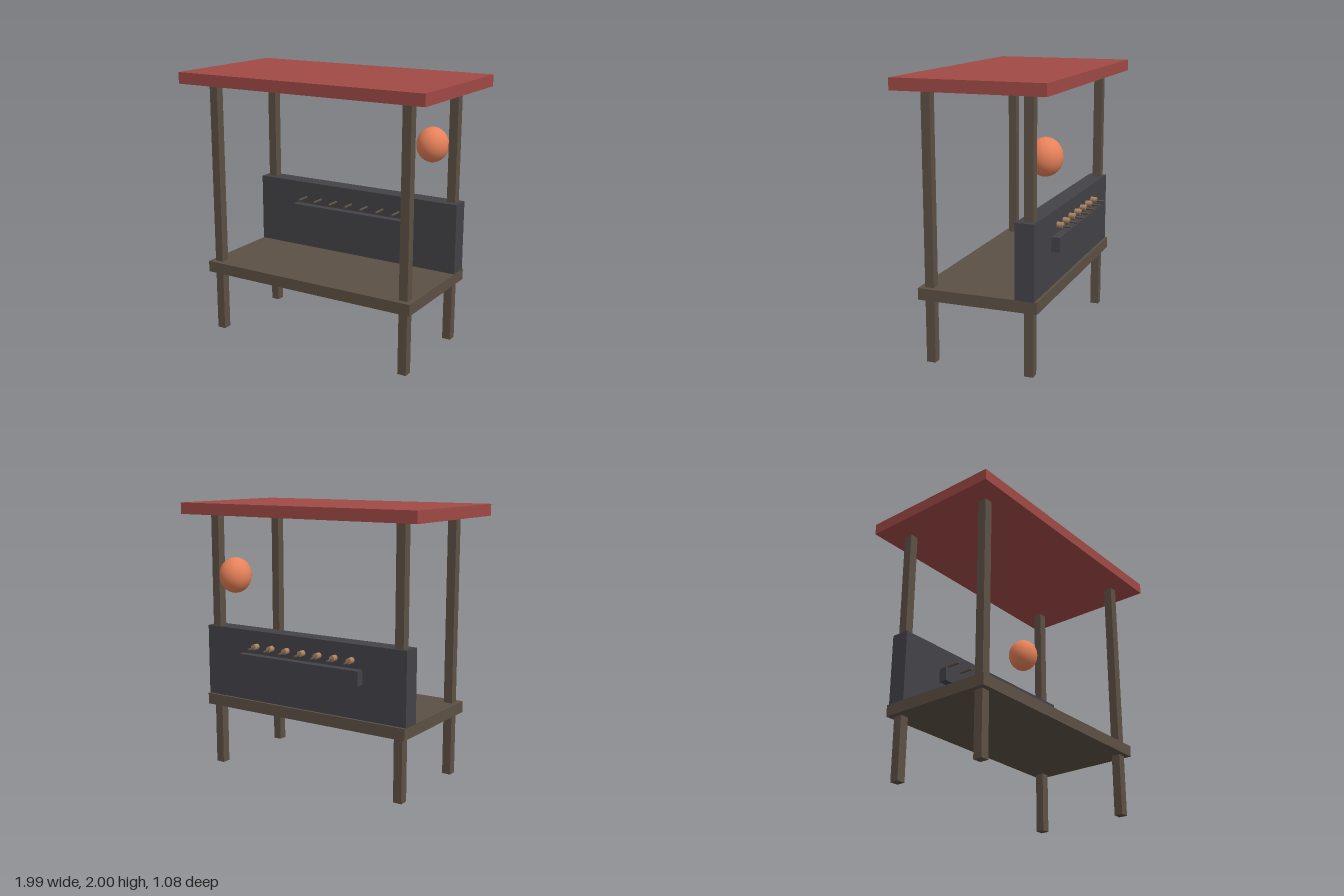
import * as THREE from 'three';

const mat = (color, flatShading = true) => new THREE.MeshStandardMaterial({ color, flatShading });

export function createModel() {
  const stall = new THREE.Group();
  stall.name = 'marketStall';
  const wood = mat(0x5c5044);
  const iron = mat(0x434247);
  const red = mat(0xa04a45);
  const meatMat = mat(0xa88462, false);
  const lanternMat = mat(0xe8825a, false);

  const add = (name, geometry, material, x, y, z) => {
    const mesh = new THREE.Mesh(geometry, material);
    mesh.name = name;
    mesh.position.set(x, y, z);
    stall.add(mesh);
    return mesh;
  };
  const box = (name, w, h, d, material, x, y, z) =>
    add(name, new THREE.BoxGeometry(w, h, d), material, x, y, z);

  // Roof, counter and four posts
  box('roof', 1.99, 0.084, 1.08, red, 0, 1.958, 0);
  box('counter', 1.73, 0.084, 0.87, wood, 0, 0.507, 0);
  for (const x of [-0.795, 0.795]) {
    for (const z of [-0.363, 0.363]) box('post', 0.066, 1.92, 0.066, wood, x, 0.96, z);
  }

  // Upright panel with a grill bar running through it
  box('backPanel', 1.73, 0.53, 0.136, iron, 0, 0.812, -0.347);
  box('grillBar', 1.04, 0.104, 0.26, iron, 0, 0.853, -0.347);

  // Row of skewers, each with a chunk near the rear end
  const rod = new THREE.CylinderGeometry(0.009, 0.009, 0.35, 8).rotateX(Math.PI / 2);
  const chunk = new THREE.CylinderGeometry(0.022, 0.022, 0.09, 10).rotateX(Math.PI / 2);
  for (let i = 0; i < 7; i++) {
    const x = -0.434 + i * 0.138;
    add('skewer', rod, wood, x, 0.955, -0.345);
    add('skewerChunk', chunk, meatMat, x, 0.963, -0.415);
  }

  // Paper lantern
  add('lantern', new THREE.SphereGeometry(0.12, 24, 16), lanternMat, 0.602, 1.475, -0.398)
    .scale.y = 1.1;

  return stall;
}
